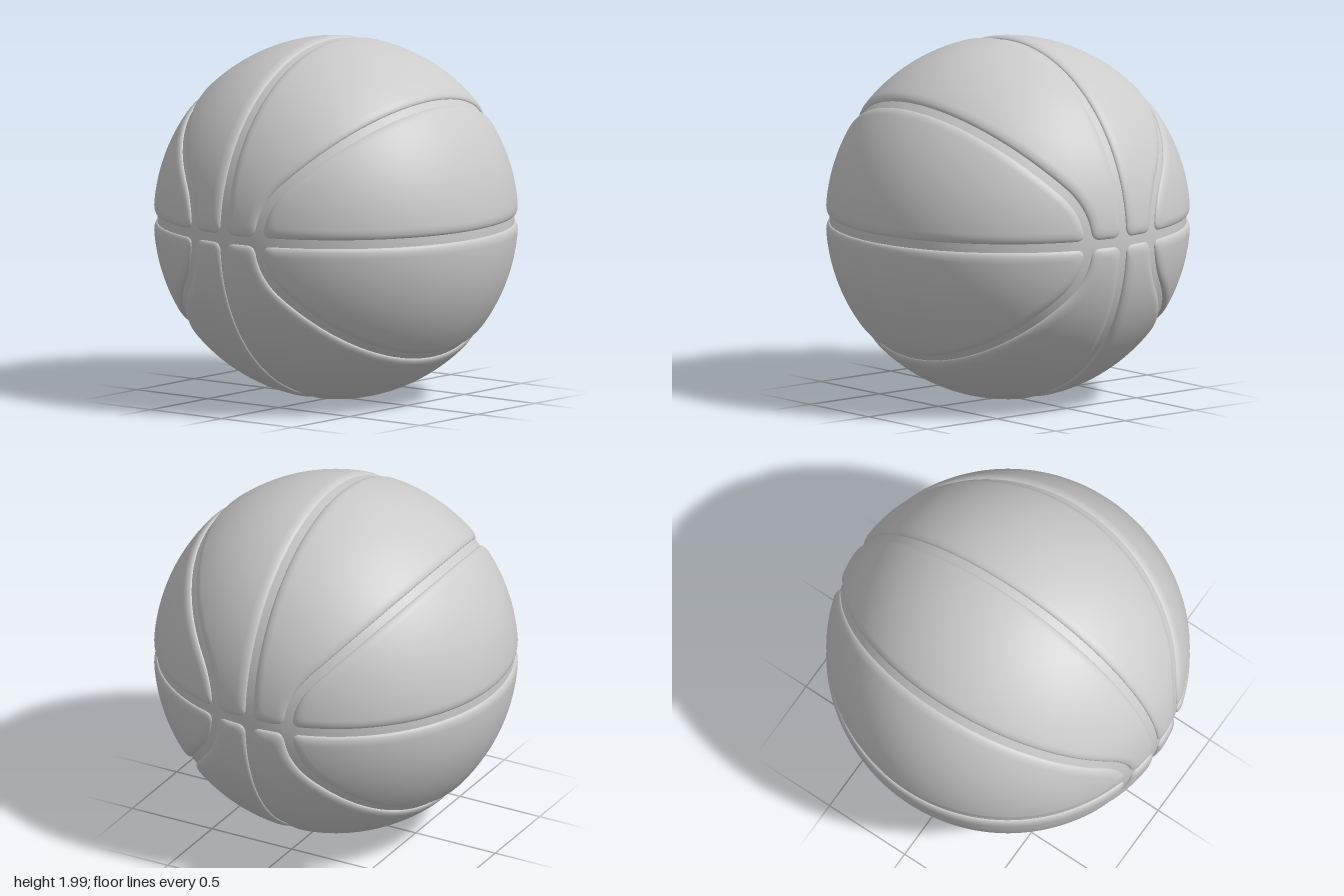
import * as THREE from 'three';

const FLOOR = 0.98;       // radius of the groove floor
const HALF = 0.025;       // half width of a groove
const SHOULDER = 0.055;   // width of the rounded panel edge
const RIM_STEPS = 7, FILL_STEPS = 8, SIDE_STEPS = 140;

// Curved seam: a bend leaving the equator at a right angle, then a near great circle
function makeSeam() {
  const bend = new THREE.QuadraticBezierCurve(
    new THREE.Vector2(0.23, 0), new THREE.Vector2(0.23, 0.178), new THREE.Vector2(0.349, 0.31));
  const flat = bend.getPoints(12);
  const from = flat[flat.length - 1], to = new THREE.Vector2(0.7068, 0.7075);
  for (let i = 1; i <= 24; i++) flat.push(from.clone().lerp(to, Math.sin((i / 24) * Math.PI / 2)));
  const half = flat.map(p => new THREE.Vector3(p.x, p.y, Math.sqrt(Math.max(0, 1 - p.lengthSq()))));
  const back = half.slice(0, -1).reverse().map(p => new THREE.Vector3(p.x, p.y, -p.z));
  const curve = new THREE.CatmullRomCurve3([...half, ...back]);
  curve.arcLengthDivisions = 800;
  return curve;
}

// Minimum that rounds the corner where two seams meet
function softMin(a, b, k = 0.05) {
  const h = Math.max(k - Math.abs(a - b), 0) / k;
  return Math.min(a, b) - h * h * k / 4;
}

// Distance from a point on the unit sphere to the nearest seam
function makeSeamDistance(seam) {
  const pts = seam.getSpacedPoints(320).slice(0, 161);
  const lines = pts.slice(1).map((p, i) => new THREE.Line3(pts[i], p));
  const q = new THREE.Vector3(), c = new THREE.Vector3();
  return p => {
    q.set(Math.abs(p.x), Math.abs(p.y), Math.abs(p.z));
    let best = 9;
    for (const l of lines) best = Math.min(best, l.closestPointToPoint(q, true, c).distanceToSquared(q));
    return softMin(softMin(q.x, q.y), Math.sqrt(best));
  };
}

// Panel between two seams left(t) and right(t), running clockwise seen from outside.
// Rings step inward from the groove over the shoulder to the panel's middle line.
function makePanel(left, right, endSteps, distance) {
  const middle = t => {
    const c = THREE.MathUtils.clamp(t, 0.1, 0.9);
    return left(c).add(right(c)).normalize();
  };
  const ease = u => u - 0.6 * Math.sin(2 * Math.PI * u) / (2 * Math.PI);

  // Outline points, each with its target on the middle line
  const rays = [];
  const addSide = (side, reverse) => {
    for (let i = 0; i < SIDE_STEPS; i++) {
      const t = ease((reverse ? SIDE_STEPS - i : i) / SIDE_STEPS);
      rays.push([side(t), middle(t)]);
    }
  };
  const addEnd = (a, b, t) => {
    for (let i = 0; i < endSteps; i++) rays.push([a.clone().lerp(b, i / endSteps).normalize(), middle(t)]);
  };
  addSide(left, false);
  addEnd(left(1), right(1), 1);
  addSide(right, true);
  addEnd(right(0), left(0), 0);

  const positions = [], smooth = [], index = [];
  const p = new THREE.Vector3();
  const put = (r, isTop) => {
    positions.push(p.x * r, p.y * r, p.z * r);
    smooth.push(isTop);
  };
  for (const [edge, target] of rays) {
    let last = 0;
    for (let j = 0; j <= RIM_STEPS; j++) {
      const a = (j / RIM_STEPS) * Math.PI / 2;
      const offset = HALF + SHOULDER * (1 - Math.cos(a));
      let lo = 0, hi = 1;
      for (let n = 0; n < 14; n++) {
        const mid = (lo + hi) / 2;
        p.copy(edge).lerp(target, mid).normalize();
        if (distance(p) < offset) lo = mid; else hi = mid;
      }
      last = hi;
      p.copy(edge).lerp(target, last).normalize();
      if (j === 0) put(FLOOR - 0.006, false);   // foot sunk into the core
      put(FLOOR + (1 - FLOOR) * Math.sin(a), j === RIM_STEPS);
    }
    for (let j = 1; j <= FILL_STEPS; j++) {
      p.copy(edge).lerp(target, last + (1 - last) * j / FILL_STEPS).normalize();
      put(1, true);
    }
  }

  const rows = RIM_STEPS + 2 + FILL_STEPS, count = rays.length;
  for (let i = 0; i < count; i++) {
    for (let j = 0; j < rows - 1; j++) {
      const a = i * rows + j, b = ((i + 1) % count) * rows + j;
      index.push(a, a + 1, b, b, a + 1, b + 1);
    }
  }
  const geometry = new THREE.BufferGeometry();
  geometry.setAttribute('position', new THREE.Float32BufferAttribute(positions, 3));
  geometry.setIndex(index);
  geometry.computeVertexNormals();

  // The spherical part takes exact radial normals
  const normal = geometry.attributes.normal;
  smooth.forEach((isTop, i) => {
    if (!isTop) return;
    p.fromBufferAttribute(geometry.attributes.position, i).normalize();
    normal.setXYZ(i, p.x, p.y, p.z);
  });
  return geometry;
}

export function createModel() {
  const group = new THREE.Group();
  group.name = 'ball';
  const material = new THREE.MeshStandardMaterial({ color: 0xcccccc });
  const add = (name, geometry) => {
    const mesh = new THREE.Mesh(geometry, material);
    mesh.name = name;
    mesh.position.y = 1;
    group.add(mesh);
    return mesh;
  };

  // Core: its surface is the floor of every groove
  add('grooveFloor', new THREE.SphereGeometry(FLOOR, 128, 80));

  const seam = makeSeam();
  const distance = makeSeamDistance(seam);
  const curved = t => seam.getPointAt(t).normalize();
  const meridian = t => new THREE.Vector3(0, Math.sin(Math.PI * t), Math.cos(Math.PI * t));
  const start = Math.asin(0.23);
  const equator = t => {
    const a = start + (Math.PI - 2 * start) * t;
    return new THREE.Vector3(Math.sin(a), 0, Math.cos(a));
  };

  // Two panel shapes, each turned into four places
  const shapes = {
    middlePanel: makePanel(meridian, curved, 16, distance),
    sidePanel: makePanel(curved, equator, 0, distance),
  };
  const places = [
    ['UpperLeft', 0, 0, 0], ['UpperRight', 0, Math.PI, 0],
    ['LowerLeft', Math.PI, 0, 0], ['LowerRight', 0, 0, Math.PI],
  ];
  for (const [name, geometry] of Object.entries(shapes)) {
    for (const [place, x, y, z] of places) add(name + place, geometry).rotation.set(x, y, z);
  }
  return group;
}
